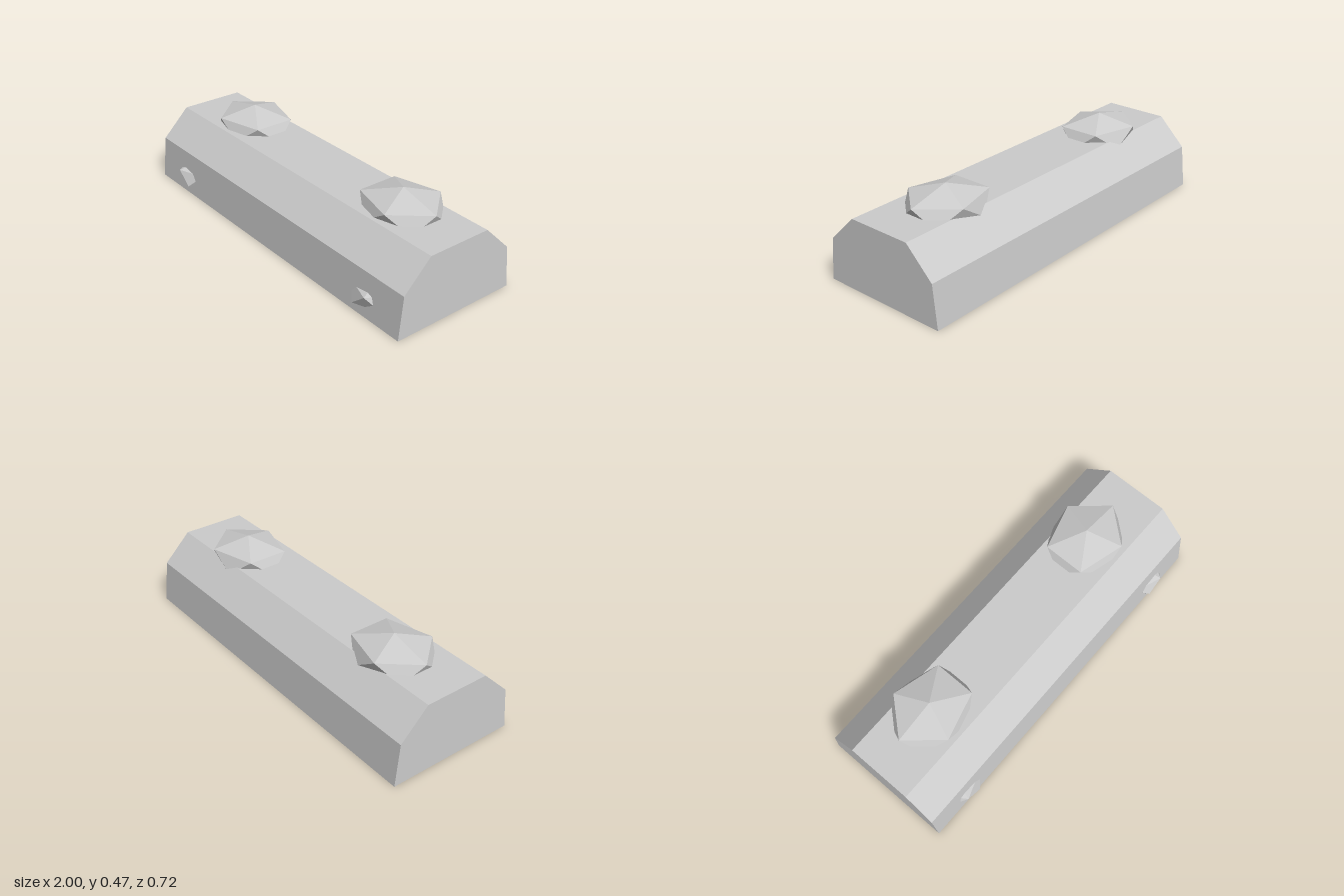
import * as THREE from 'three';
import { ConvexGeometry } from 'three/addons/geometries/ConvexGeometry.js';

const stone = new THREE.MeshStandardMaterial({ color: 0xcccccc });
stone.name = 'pale grey stone';

// Twenty-sided stud with one corner up; side (1 or -1) mirrors it across x
function stud(name, side, centre, size) {
  const points = [new THREE.Vector3(0, 1, 0), new THREE.Vector3(0, -1, 0)];
  const r = 2 / Math.sqrt(5), h = 1 / Math.sqrt(5);
  for (let i = 0; i < 5; i++) {
    const a = (i * Math.PI * 2) / 5;
    points.push(new THREE.Vector3(r * Math.cos(a), h, r * Math.sin(a)));
    points.push(new THREE.Vector3(-r * Math.cos(a), -h, -r * Math.sin(a)));
  }
  const scale = new THREE.Vector3(side * size[0], size[1], size[2]);
  const mesh = new THREE.Mesh(new ConvexGeometry(points.map((p) => p.multiply(scale))), stone);
  mesh.position.set(side * centre[0], centre[1], centre[2]);
  mesh.name = name;
  return mesh;
}

export function createModel() {
  const model = new THREE.Group();
  model.name = 'stoneBlock';

  // Long block: chamfered cross-section (z, y) swept along x
  const profile = new THREE.Shape(
    [[0.342, 0], [0.317, 0.227], [0.167, 0.375], [-0.183, 0.375], [-0.333, 0.227], [-0.358, 0]]
      .map(([z, y]) => new THREE.Vector2(z, y))
  );
  const blockGeometry = new THREE.ExtrudeGeometry(profile, { depth: 2, bevelEnabled: false });
  blockGeometry.rotateY(-Math.PI / 2).translate(1, 0, 0);
  const block = new THREE.Mesh(blockGeometry, stone);
  block.name = 'block';
  model.add(block);

  // Faceted studs, half sunk into the top and the front
  for (const side of [1, -1]) {
    const label = side > 0 ? 'left' : 'right';
    model.add(stud(label + 'TopStud', side, [0.6, 0.375, -0.033], [0.25, 0.1, 0.21]));
    model.add(stud(label + 'FrontStud', side, [0.745, 0.087, 0.217], [0.15, 0.078, 0.168]));
  }
  return model;
}
